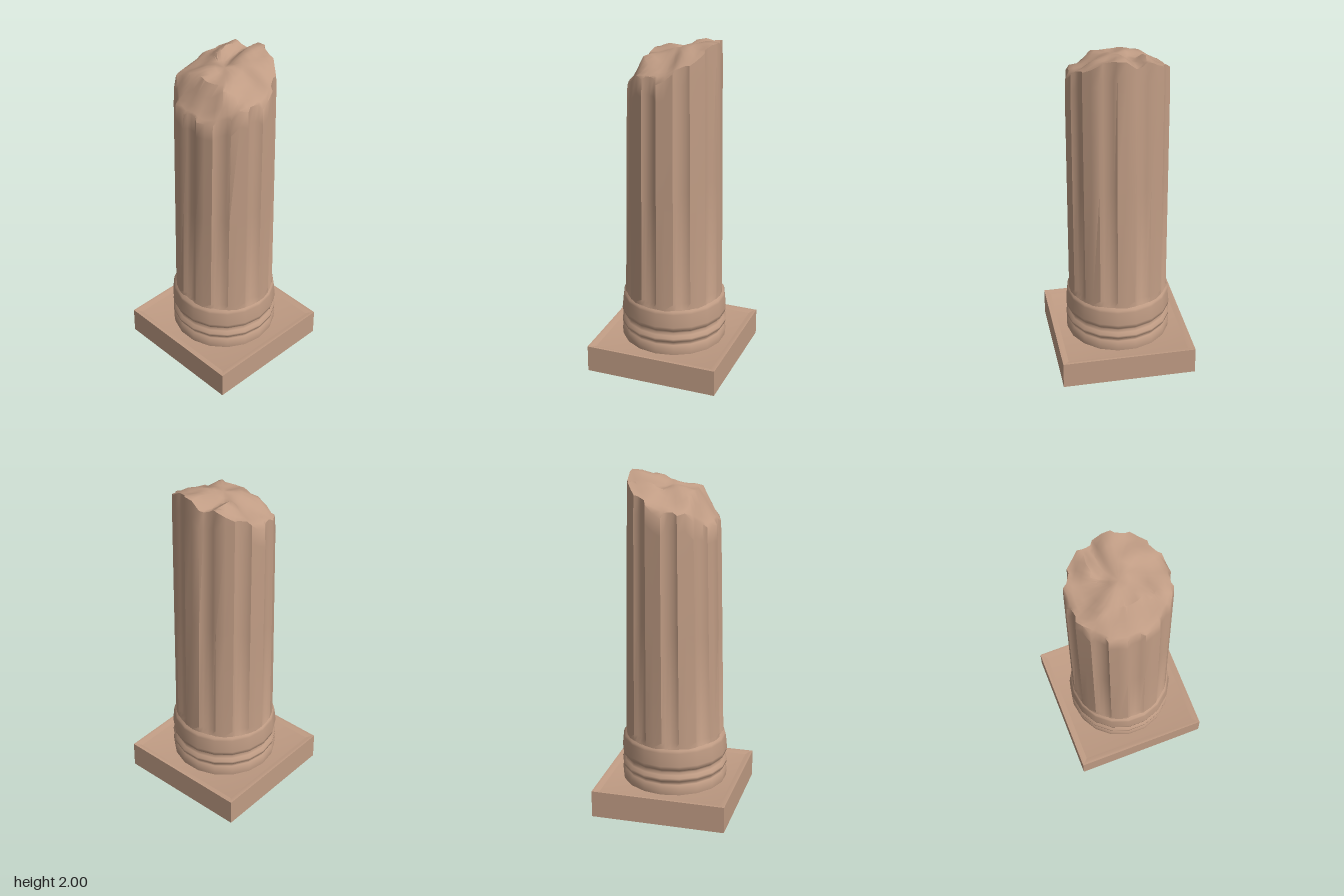
import * as THREE from 'three';
import { toCreasedNormals } from 'three/addons/utils/BufferGeometryUtils.js';

const { smoothstep, lerp, degToRad } = THREE.MathUtils;
const stone = new THREE.MeshStandardMaterial({ color: 0xc09c84, side: THREE.DoubleSide });

const RADIUS = 0.297;
const FLUTES = 9;
const FLUTE_DEPTH = 0.017;
const SHAFT_START = 0.425;

function lathe(name, profile, sides, start = 0) {
  const points = profile.map(([r, y]) => new THREE.Vector2(r, y));
  const geometry = new THREE.LatheGeometry(points, sides, start);
  const mesh = new THREE.Mesh(geometry, stone);
  mesh.name = name;
  return mesh;
}

// Straight-line reading between [position, value] pairs
function sample(table, x) {
  const i = Math.max(1, table.findIndex(([sx]) => sx >= x));
  const [x0, y0] = table[i - 1], [x1, y1] = table[i];
  return lerp(y0, y1, (x - x0) / (x1 - x0));
}

// Height of the broken top: climbs toward +x, drops at the front and back rims
const slope = [[-0.3, 1.67], [-0.255, 1.73], [-0.2, 1.79], [-0.13, 1.92], [0.05, 1.95], [0.1, 1.98], [0.26, 2], [0.3, 2]];
const rimDrop = [[0, 0], [0.055, 0], [0.13, 0.015], [0.2, 0.065], [0.27, 0.09], [0.31, 0.16]];
function breakHeight(x, z) {
  let y = sample(slope, x) - sample(rimDrop, Math.abs(z));
  y -= 0.05 * smoothstep(x, -0.05, 0.15) * Math.exp(-(((z + 0.065) / 0.045) ** 2));
  y += 0.012 * Math.sin(23 * x + 9 * z) * Math.sin(31 * z - 7 * x) * smoothstep(0.3 - Math.hypot(x, z), 0, 0.1);
  return Math.min(y, 2);
}

// Cross-section: flat ridges alternating with shallow flutes, as [angle, depth]
function shaftSection() {
  const section = [];
  const pattern = [[-10, 0], [0, RADIUS * (1 - Math.cos(degToRad(10)))], [10, 0],
    [14, FLUTE_DEPTH], [20, FLUTE_DEPTH + 0.002], [26, FLUTE_DEPTH]];
  for (let k = 0; k < FLUTES; k++) {
    for (const [a, d] of pattern) section.push([degToRad(90 + (k * 360) / FLUTES + a), d]);
  }
  return section;
}

// The shaft narrows in width only, and leans very slightly to +x
function taperX(x, y) {
  const t = (y - SHAFT_START) / (2 - SHAFT_START);
  return x * lerp(0.985, 0.885, t) + 0.006 * t;
}

function buildShaft() {
  const section = shaftSection();
  const n = section.length;
  const positions = [], index = [];
  // Rows up the side: [share of full height, flute strength, ring scale]
  const rows = [[0, 0, 1], [0.012, 0.2, 1], [0.035, 1, 1], [0.5, 1, 1], [0.93, 1, 1], [1, 1, 0.99]];
  // Rings closing over the broken top
  for (const scale of [0.92, 0.82, 0.68, 0.52, 0.35, 0.18, 0]) rows.push([1, scale > 0.9 ? 0.4 : 0, scale]);

  for (const [t, flute, scale] of rows) {
    for (const [angle, depth] of section) {
      const r = (RADIUS - depth * flute) * scale;
      const z = r * Math.cos(angle);
      const x = r * Math.sin(angle);
      const y = lerp(SHAFT_START, breakHeight(taperX(x, 1.9), z), t);
      positions.push(taperX(x, y), y, z);
    }
  }
  for (let i = 0; i < rows.length - 1; i++) {
    for (let j = 0; j < n; j++) {
      const a = i * n + j, b = i * n + ((j + 1) % n);
      index.push(a, b, b + n);
      if (i < rows.length - 2) index.push(a, b + n, a + n);
    }
  }
  const geometry = new THREE.BufferGeometry();
  geometry.setAttribute('position', new THREE.Float32BufferAttribute(positions, 3));
  geometry.setIndex(index);
  const mesh = new THREE.Mesh(toCreasedNormals(geometry, degToRad(50)), stone);
  mesh.name = 'brokenFlutedShaft';
  return mesh;
}

export function createModel() {
  const group = new THREE.Group();
  group.name = 'brokenColumn';

  // Square plinth, open underneath, with a shallow tray in its top
  const d = Math.SQRT2;
  const plinth = lathe('plinth',
    [[0.4 * d, 0], [0.4 * d, 0.163], [0.388 * d, 0.163], [0.362 * d, 0.152], [0, 0.152]], 4, Math.PI / 4);
  plinth.geometry = toCreasedNormals(plinth.geometry, degToRad(30));
  group.add(plinth);

  // Rounded mouldings at the foot
  group.add(lathe('baseMoulding', [
    [0.312, 0.152], [0.316, 0.195], [0.3, 0.212], [0.297, 0.228], [0.314, 0.24], [0.316, 0.258],
    [0.3, 0.274], [0.294, 0.29], [0.298, 0.304], [0.312, 0.312], [0.316, 0.335], [0.308, 0.415], [0.304, 0.43], [0.288, 0.448],
  ], 18));

  group.add(buildShaft());
  return group;
}
